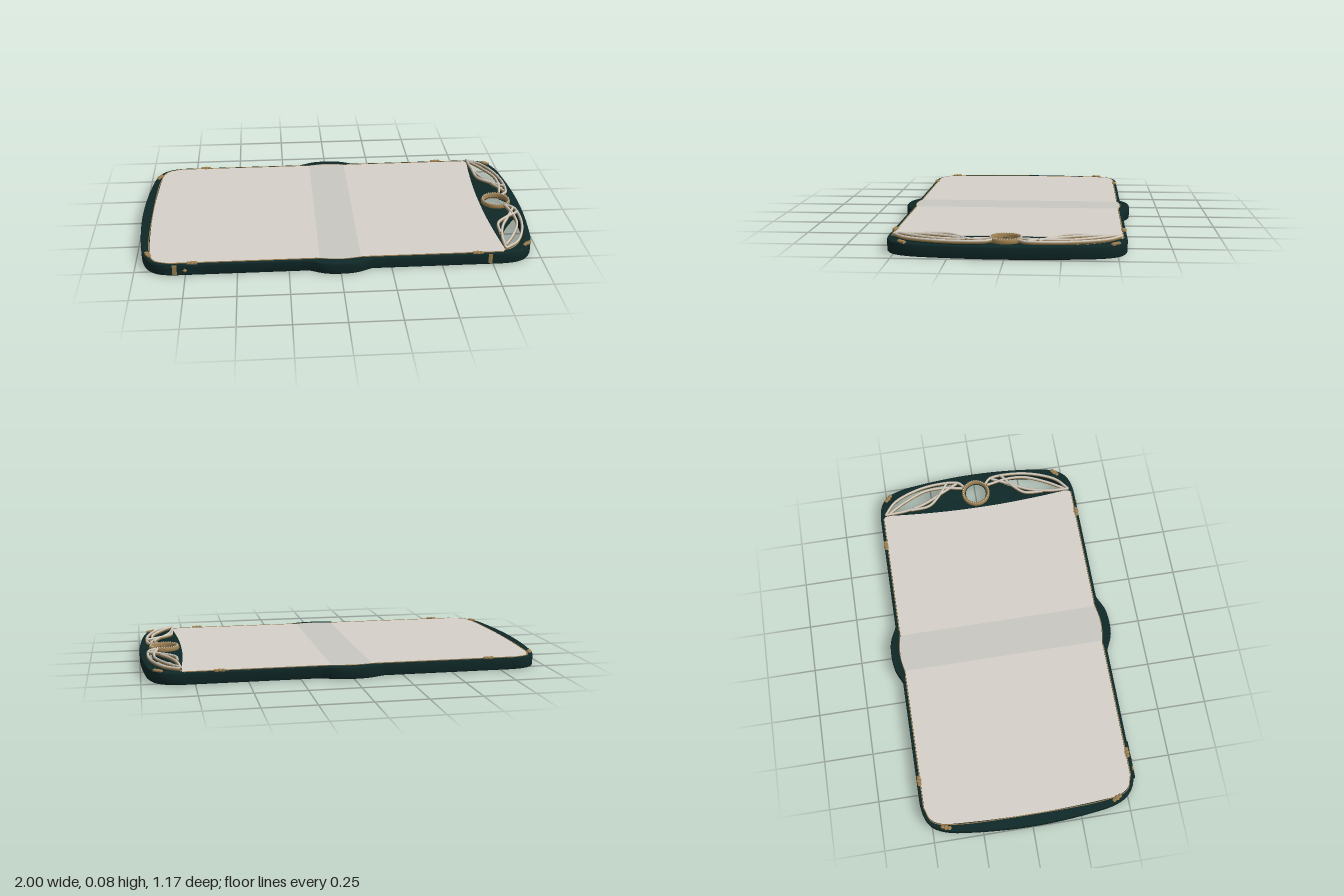
import * as THREE from 'three';
import { toCreasedNormals } from 'three/addons/utils/BufferGeometryUtils.js';

const V2 = (x, y) => new THREE.Vector2(x, y);
const mat = (name, color, side = THREE.FrontSide) => {
  const m = new THREE.MeshStandardMaterial({ color, side });
  m.name = name;
  return m;
};

export function createModel() {
  const group = new THREE.Group();
  const dark = mat('dark green shell', 0x0f2827);
  const screenMat = mat('pale screen', 0xd6d2ca);
  const foldMat = mat('fold strip', 0xc9c8c1);
  const gold = mat('antique gold', 0x9c7f50);
  const silver = mat('silver', 0xd2cbc0);

  const add = (name, geo, material, x = 0, y = 0, z = 0, ry = 0, parent = group) => {
    const m = new THREE.Mesh(geo, material);
    m.name = name;
    m.position.set(x, y, z);
    m.rotation.y = ry;
    parent.add(m);
    return m;
  };
  // Flat plate lying in the xz plane, from y0 to y1
  const plate = (name, shape, material, y0, y1, bevel = 0) => {
    const g = new THREE.ExtrudeGeometry(shape, {
      depth: y1 - y0 - 2 * bevel, curveSegments: 24, bevelEnabled: bevel > 0,
      bevelThickness: bevel, bevelSize: bevel, bevelOffset: -bevel, bevelSegments: 3,
    });
    g.rotateX(-Math.PI / 2);
    return add(name, toCreasedNormals(g, 0.6), material, 0, y0 + bevel, 0);
  };

  // Outline: one quarter, mirrored to four
  const q = new THREE.Path();
  q.moveTo(0, 0.587);
  q.bezierCurveTo(0.09, 0.587, 0.1, 0.567, 0.155, 0.545);
  q.lineTo(0.8, 0.545);
  q.bezierCurveTo(0.91, 0.54, 0.95, 0.5, 0.972, 0.38);
  q.bezierCurveTo(0.99, 0.25, 1, 0.12, 1, 0);
  const quarter = q.getPoints(16);
  const half = [...quarter, ...quarter.slice(0, -1).reverse().map(p => V2(p.x, -p.y))];
  const outline = [...half, ...half.slice(1, -1).reverse().map(p => V2(-p.x, p.y))];
  const body = new THREE.Shape(outline);

  // Leaf openings and the round lens opening at one end
  for (const s of [1, -1]) {
    const h = new THREE.Path();
    h.moveTo(0.822, 0.505 * s);
    h.bezierCurveTo(0.9, 0.48 * s, 0.975, 0.34 * s, 0.955, 0.1 * s);
    h.bezierCurveTo(0.91, 0.17 * s, 0.83, 0.25 * s, 0.822, 0.505 * s);
    body.holes.push(h);
  }
  const lens = new THREE.Path();
  lens.absarc(0.875, 0, 0.062, 0, Math.PI * 2, true);
  body.holes.push(lens);
  plate('shell', body, dark, 0, 0.058, 0.006);

  // Two screen halves with a fold strip between
  const left = new THREE.Shape();
  left.moveTo(-0.1, 0.525);
  left.lineTo(-0.83, 0.525);
  left.bezierCurveTo(-0.9, 0.52, -0.925, 0.47, -0.93, 0.4);
  left.quadraticCurveTo(-0.945, 0.2, -0.945, 0);
  left.quadraticCurveTo(-0.945, -0.2, -0.93, -0.4);
  left.bezierCurveTo(-0.925, -0.47, -0.9, -0.52, -0.83, -0.525);
  left.lineTo(-0.1, -0.525);
  const right = new THREE.Shape();
  right.moveTo(0.1, -0.525);
  right.lineTo(0.8, -0.525);
  right.quadraticCurveTo(0.818, -0.52, 0.81, -0.46);
  right.quadraticCurveTo(0.785, -0.2, 0.787, 0);
  right.quadraticCurveTo(0.785, 0.2, 0.81, 0.46);
  right.quadraticCurveTo(0.818, 0.52, 0.8, 0.525);
  right.lineTo(0.1, 0.525);
  const strip = new THREE.Shape();
  strip.moveTo(-0.1, -0.525);
  strip.quadraticCurveTo(0, -0.552, 0.1, -0.525);
  strip.lineTo(0.1, 0.525);
  strip.quadraticCurveTo(0, 0.552, -0.1, 0.525);
  plate('leftScreen', left, screenMat, 0.056, 0.06);
  plate('rightScreen', right, screenMat, 0.056, 0.06);
  plate('foldStrip', strip, foldMat, 0.056, 0.06);

  const tube = (name, pts, r, material, sx = 1) => {
    const c = new THREE.CatmullRomCurve3(pts.map(p => new THREE.Vector3(...p)));
    return add(name, new THREE.TubeGeometry(c, 48, r, 6), material);
  };

  // Fine gold edging beside the screen
  for (const s of [1, -1]) {
    for (const [x0, x1] of [[-0.83, -0.12], [0.12, 0.8]])
      add('sideTrim', new THREE.BoxGeometry(x1 - x0, 0.004, 0.004), gold, (x0 + x1) / 2, 0.0595, 0.528 * s);
    tube('hingeTrim', [[-0.12, 0.059, 0.525 * s], [0, 0.059, 0.541 * s], [0.12, 0.059, 0.525 * s]], 0.002, gold);
  }
  tube('endTrim', [[-0.83, 0.059, -0.527], [-0.905, 0.059, -0.495], [-0.933, 0.059, -0.4], [-0.947, 0.059, 0],
    [-0.933, 0.059, 0.4], [-0.905, 0.059, 0.495], [-0.83, 0.059, 0.527]], 0.0025, gold);

  // Lens ring with beaded rim
  const ring = add('lensRing', new THREE.LatheGeometry(
    [[0.06, 0.05], [0.076, 0.05], [0.078, 0.068], [0.073, 0.078], [0.066, 0.078], [0.06, 0.07], [0.06, 0.05]]
      .map(p => V2(...p)), 48), gold, 0.875, 0, 0);
  ring.material.side = THREE.DoubleSide;
  const bead = new THREE.SphereGeometry(0.0035, 6, 4);
  for (let i = 0; i < 36; i++) {
    const a = i / 36 * Math.PI * 2;
    add('ringBead', bead, silver, 0.875 + 0.07 * Math.cos(a), 0.079, 0.07 * Math.sin(a));
  }

  // Interlaced filigree strands across the leaf openings: silver cord on a gold base
  const strands = [
    [[0.815, 0.515], [0.885, 0.455], [0.94, 0.33], [0.96, 0.2], [0.95, 0.09], [0.92, 0.06]],
    [[0.815, 0.515], [0.822, 0.4], [0.85, 0.29], [0.9, 0.19], [0.945, 0.1]],
    [[0.82, 0.49], [0.875, 0.4], [0.925, 0.28], [0.93, 0.18], [0.91, 0.07]],
    [[0.82, 0.37], [0.83, 0.27], [0.875, 0.215], [0.96, 0.15]],
  ];
  for (const s of [1, -1]) {
    strands.forEach((st, i) => {
      const y = 0.07 + 0.002 * i;
      tube('filigreeBase', st.map(([x, z]) => [x, y - 0.003, z * s]), 0.0075, gold);
      tube('filigreeCord', st.map(([x, z]) => [x, y + 0.002, z * s]), 0.0065, silver);
    });
  }

  // Ornamental clips around the rim
  const clips = [[-0.69, -0.532, 0], [0.635, -0.535, 0], [0.92, -0.488, -0.75], [-0.943, -0.43, 1.2],
    [-0.935, 0.437, -1.1], [-0.715, 0.533, 0], [0.674, 0.533, 0], [0.935, 0.458, 0.75]];
  const knob = new THREE.SphereGeometry(0.011, 10, 6);
  for (const [x, z, ry] of clips) {
    const c = new THREE.Group();
    c.name = 'rimClip';
    c.position.set(x, 0.06, z);
    c.rotation.y = ry;
    group.add(c);
    add('clipBar', new THREE.BoxGeometry(0.05, 0.008, 0.016), gold, 0, 0, 0, 0, c);
    for (const k of [-1, 0, 1]) {
      const b = add('clipKnob', knob, gold, k * 0.017, 0.002, 0, 0, c);
      b.scale.set(1, 0.6, k === 0 ? 1.3 : 1);
    }
  }

  // Front edge: gold bands, raised button and its small stud
  add('leftBand', new THREE.BoxGeometry(0.02, 0.048, 0.012), gold, 0.735, 0.032, 0.542);
  add('rightBand', new THREE.BoxGeometry(0.022, 0.048, 0.016), gold, -0.8, 0.032, 0.542);
  add('button', new THREE.BoxGeometry(0.19, 0.036, 0.02), dark, -0.75, 0.031, 0.54);
  const stud = add('buttonStud', new THREE.OctahedronGeometry(0.012), gold, -0.75, 0.031, 0.551);
  stud.scale.z = 0.7;

  return group;
}
